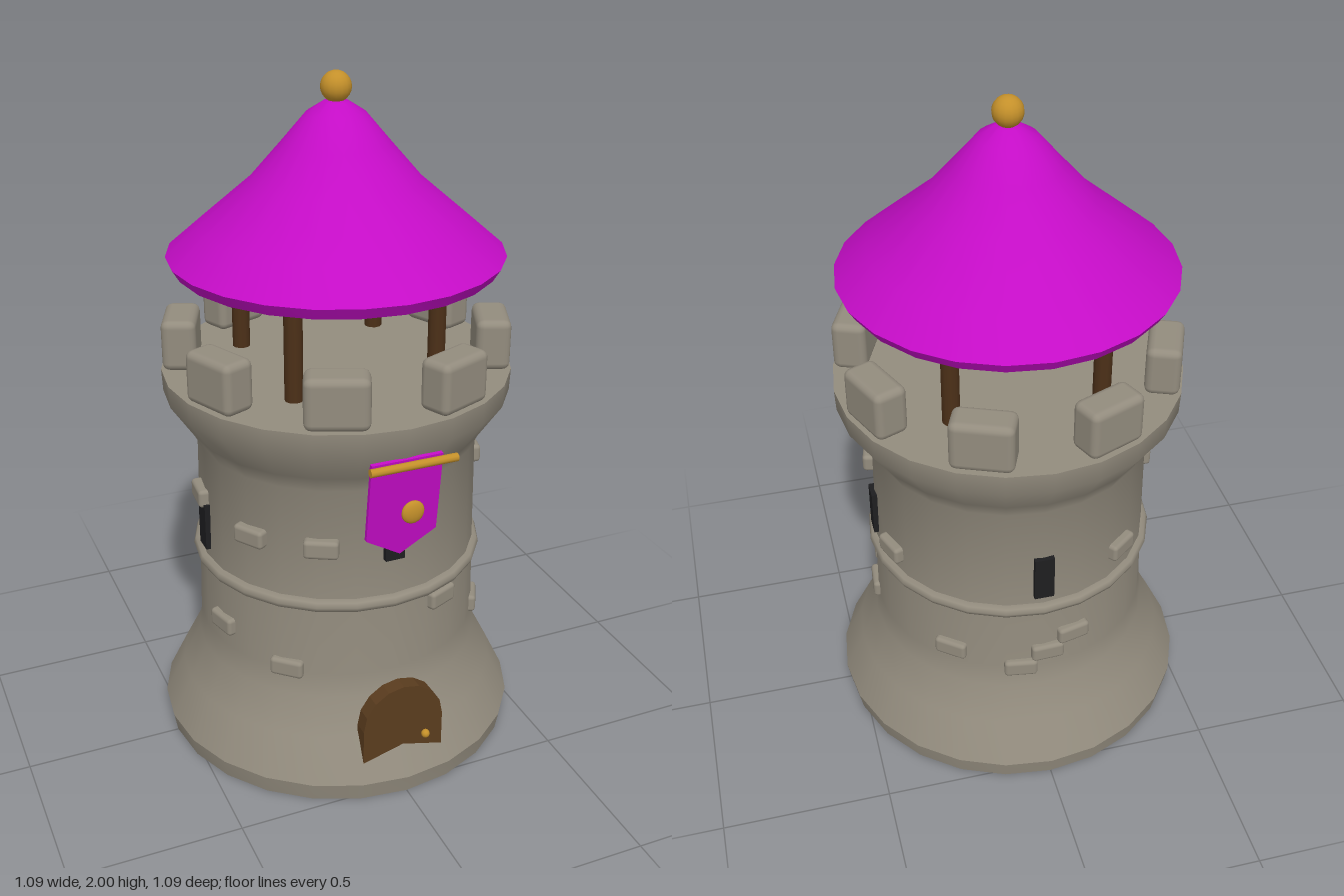
import * as THREE from 'three';
import { toCreasedNormals } from 'three/addons/utils/BufferGeometryUtils.js';
import { RoundedBoxGeometry } from 'three/addons/geometries/RoundedBoxGeometry.js';

const material = (name, color) => {
  const m = new THREE.MeshStandardMaterial({ color });
  m.name = name;
  return m;
};

export function createModel() {
  const tower = new THREE.Group();
  tower.name = 'tower';
  const stone = material('stone', 0x938c7e);
  const magenta = material('magenta cloth', 0xc40cc6);
  const gold = material('gold', 0xc4902a);
  const timber = material('dark timber', 0x4c3018);
  const doorWood = material('door wood', 0x5a3c1e);
  const shadow = material('window black', 0x1e1e20);

  const add = (name, geometry, mat, x = 0, y = 0, z = 0) => {
    const mesh = new THREE.Mesh(geometry, mat);
    mesh.name = name;
    mesh.position.set(x, y, z);
    tower.add(mesh);
    return mesh;
  };
  // Place a part on a circle; angle in degrees from the front (+z) towards +x
  const addAround = (name, geometry, mat, degrees, radius, y) => {
    const a = THREE.MathUtils.degToRad(degrees);
    const mesh = add(name, geometry, mat, Math.sin(a) * radius, y, Math.cos(a) * radius);
    mesh.rotation.y = a;
    return mesh;
  };
  const lathe = (profile) => toCreasedNormals(
    new THREE.LatheGeometry(profile.map(([r, y]) => new THREE.Vector2(r, y)), 24), 0.6);
  const extrude = (points, depth) => {
    const shape = new THREE.Shape(points.map(([x, y]) => new THREE.Vector2(x, y)));
    const g = new THREE.ExtrudeGeometry(shape, { depth, bevelEnabled: false });
    return g.translate(0, 0, -depth / 2);
  };

  // Wall with flared foot, corbelled rim and flat floor
  add('wall', lathe([
    [0, 0], [0.535, 0], [0.545, 0.055], [0.484, 0.18], [0.43, 0.285], [0.422, 0.36],
    [0.416, 0.6], [0.411, 0.95], [0.436, 1.0], [0.503, 1.1], [0.506, 1.165], [0, 1.165],
  ]), stone);
  const band = add('stoneBand', new THREE.TorusGeometry(0.416, 0.02, 8, 24), stone, 0, 0.59, 0);
  band.rotation.x = Math.PI / 2;

  // Battlements
  const merlon = new RoundedBoxGeometry(0.178, 0.15, 0.1, 2, 0.022);
  for (let i = 0; i < 8; i++) addAround('merlon', merlon, stone, 22.5 + 45 * i, 0.446, 1.24);

  // Raised stones: angle, height
  const brick = new RoundedBoxGeometry(0.1, 0.056, 0.045, 2, 0.012);
  const bricks = [
    [-58, 0.775], [-28.5, 0.775], [-42.5, 0.37], [-75, 0.435], [-94, 0.8],
    [23.5, 0.545], [62, 0.38], [85, 0.38], [77, 0.845], [110.5, 0.675],
    [142, 0.41], [171, 0.36], [182, 0.415], [193, 0.465], [218, 0.7],
  ];
  for (const [angle, y] of bricks) addAround('raisedStone', brick, stone, angle, 0.414, y);

  // Slit windows; the front one sits higher
  const slit = new THREE.BoxGeometry(0.058, 0.145, 0.04);
  for (const angle of [0, 90, 180, 270]) {
    addAround('window', slit, shadow, angle, 0.406, angle === 0 ? 0.798 : 0.712);
  }

  // Roof on four posts
  const post = new THREE.CylinderGeometry(0.026, 0.026, 0.31, 10);
  for (let i = 0; i < 4; i++) addAround('roofPost', post, timber, 45 + 90 * i, 0.304, 1.315);
  add('roof', lathe([
    [0, 1.466], [0.457, 1.466], [0.478, 1.5], [0.386, 1.58], [0.238, 1.707],
    [0.15, 1.808], [0.082, 1.888], [0.035, 1.918], [0, 1.925],
  ]), magenta);
  add('finial', new THREE.SphereGeometry(0.043, 16, 12), gold, 0, 1.957, 0);

  // Arched door with knob
  const arch = [[-0.125, 0.06], [0.125, 0.06]];
  for (let i = 0; i <= 8; i++) {
    const a = (Math.PI * i) / 8;
    arch.push([0.125 * Math.cos(a), 0.22 + 0.125 * Math.sin(a)]);
  }
  add('door', extrude(arch, 0.045), doorWood, 0, 0, 0.479);
  add('doorKnob', new THREE.SphereGeometry(0.013, 10, 8), gold, 0.07, 0.165, 0.507);

  // Hanging banner, its foot swung outwards, with rod and boss
  const banner = add('banner', extrude([
    [-0.105, 0.14], [-0.105, -0.105], [0, -0.17], [0.105, -0.105], [0.105, 0.14],
  ], 0.012), magenta, 0, 0.93, 0.467);
  banner.rotation.x = 0.12;
  const rod = add('bannerRod', new THREE.CylinderGeometry(0.012, 0.012, 0.254, 10), gold, 0, 1.07, 0.528);
  rod.rotation.z = Math.PI / 2;
  const boss = add('bannerBoss', new THREE.SphereGeometry(0.034, 14, 10), gold, 0, 0.93, 0.527);
  boss.scale.z = 0.38;

  return tower;
}
